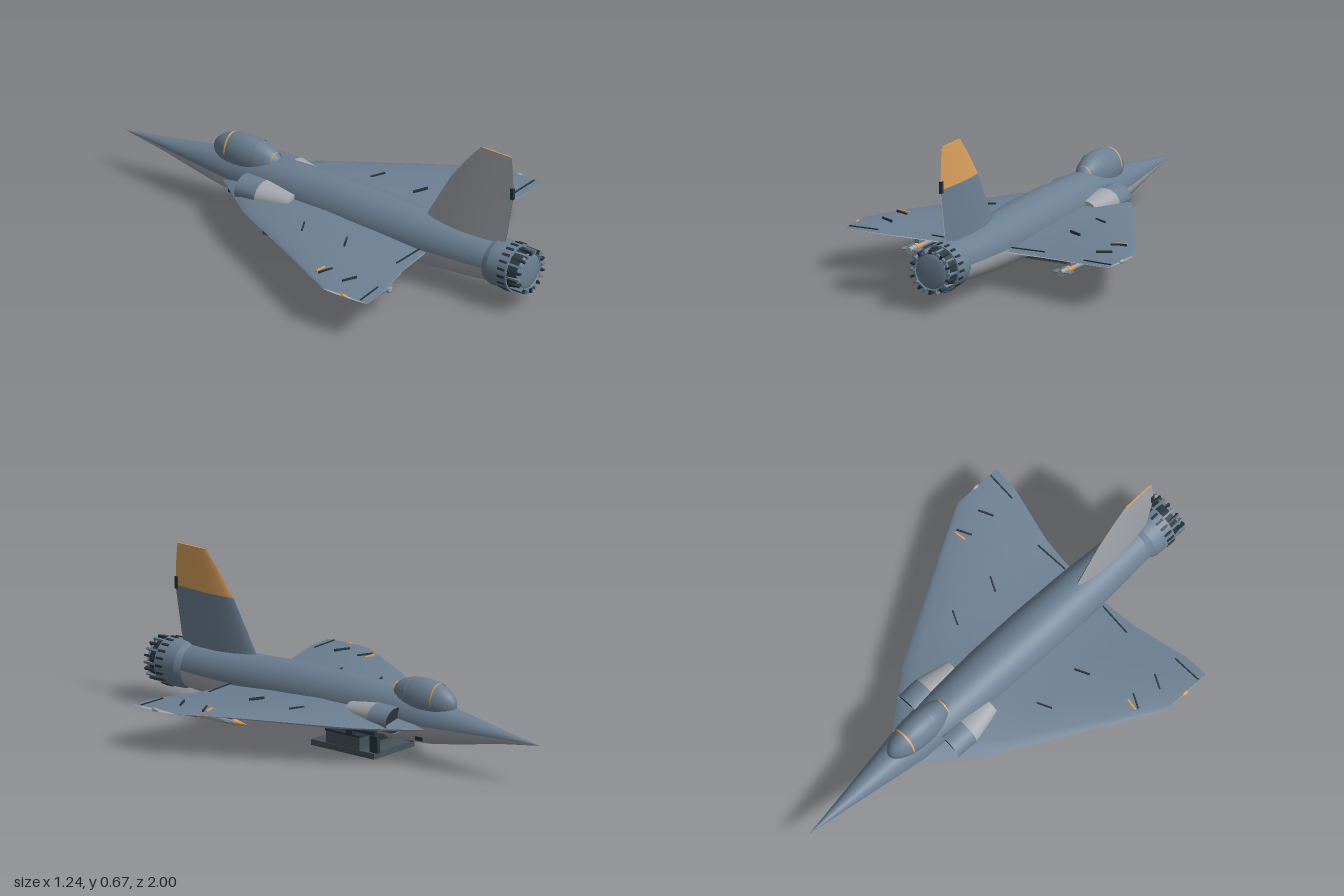
import * as THREE from 'three';

const mat = (name, color, side = THREE.FrontSide) => {
  const m = new THREE.MeshStandardMaterial({ color, side });
  m.name = name;
  return m;
};

// Skin a surface over rows of [x, y, z] points
function loft(rows, flip = false) {
  const n = rows[0].length, index = [];
  for (let i = 0; i < rows.length - 1; i++) {
    for (let j = 0; j < n - 1; j++) {
      const a = i * n + j, b = a + 1, c = a + n, d = c + 1;
      if (flip) index.push(a, c, b, b, c, d);
      else index.push(a, b, c, b, d, c);
    }
  }
  const g = new THREE.BufferGeometry();
  g.setAttribute('position', new THREE.Float32BufferAttribute(rows.flat(2), 3));
  g.setIndex(index);
  g.computeVertexNormals();
  return g;
}

// Elliptical arc in the xy plane
const arc = (cx, cy, rx, ry, z, from, to, n = 24) =>
  Array.from({ length: n + 1 }, (_, k) => {
    const a = from + (to - from) * k / n;
    return [cx + rx * Math.cos(a), cy + ry * Math.sin(a), z];
  });

// Chord position and relative thickness of the wing and fin section
const FOIL = [[0, 0], [0.04, 0.35], [0.12, 0.65], [0.3, 0.95], [0.5, 1], [0.75, 0.65], [1, 0.06]];

export function createModel() {
  const model = new THREE.Group();
  model.name = 'jetAircraft';
  const slate = mat('slateBlue', 0x6c7f92, THREE.DoubleSide);
  const grey = mat('lightGrey', 0xa3a7ad, THREE.DoubleSide);
  const orange = mat('orange', 0xd9a05c, THREE.DoubleSide);
  const dark = mat('darkSteel', 0x28343c);
  const box = mat('podGrey', 0x46535a);

  const add = (name, geo, material, x = 0, y = 0, z = 0, parent = model) => {
    const m = new THREE.Mesh(geo, material);
    m.name = name;
    m.position.set(x, y, z);
    parent.add(m);
    return m;
  };
  const block = (name, w, h, d, material, x, y, z, parent) =>
    add(name, new THREE.BoxGeometry(w, h, d), material, x, y, z, parent);
  // Cylinder along z: r0 at the forward (-z) end, r1 at the rear
  const tube = (name, r0, r1, len, material, x, y, z, parent, open = false) =>
    add(name, new THREE.CylinderGeometry(r1, r0, len, 32, 1, open).rotateX(Math.PI / 2), material, x, y, z, parent);

  // Fuselage stations: z, half width, top, bottom
  const body = [
    [-1, 0.001, 0.176, 0.174], [-0.8, 0.031, 0.204, 0.145], [-0.6, 0.062, 0.237, 0.105],
    [-0.45, 0.085, 0.26, 0.08], [-0.25, 0.1, 0.286, 0.066], [0, 0.11, 0.293, 0.06],
    [0.25, 0.112, 0.288, 0.056], [0.5, 0.105, 0.275, 0.058], [0.7, 0.093, 0.262, 0.068], [0.84, 0.085, 0.255, 0.08],
  ];
  const hull = (from, to) => loft(body.map(([z, rx, t, b]) => arc(0, (t + b) / 2, rx, (t - b) / 2, z, from, to)));
  add('upperFuselage', hull(0, Math.PI), slate);
  add('lowerFuselage', hull(Math.PI, Math.PI * 2), grey);

  // Engine nozzle with ribs and petals
  const ny = 0.168;
  tube('nozzleCollar', 0.086, 0.098, 0.03, slate, 0, ny, 0.825);
  tube('nozzleBand', 0.098, 0.1, 0.1, slate, 0, ny, 0.89);
  tube('nozzleCore', 0.092, 0.082, 0.045, dark, 0, ny, 0.9625);
  add('exhaustDome', new THREE.SphereGeometry(0.072, 32, 8, 0, Math.PI * 2, 0, Math.PI / 2)
    .rotateX(Math.PI / 2).scale(1, 1, 0.15), slate, 0, ny, 0.985);
  add('nozzleRim', new THREE.TorusGeometry(0.078, 0.007, 8, 32), slate, 0, ny, 0.984);
  for (let k = 0; k < 20; k++) {
    const petal = new THREE.Group();
    petal.name = 'nozzlePetal';
    petal.position.set(0, ny, 0);
    petal.rotation.z = k * Math.PI / 10;
    model.add(petal);
    block('petalBlade', 0.009, 0.018, 0.06, k % 2 ? slate : dark, 0, 0.085, 0.97, petal);
    block('petalHinge', 0.01, 0.008, 0.035, dark, 0, 0.099, 0.915, petal);
  }

  // Canopy with frame hoops
  const cz = -0.4, cy = 0.258, cr = [0.068, 0.087, 0.163];
  add('canopy', new THREE.SphereGeometry(1, 32, 20).scale(...cr), slate, 0, cy, cz);
  [[-0.478, orange], [-0.345, dark], [-0.265, orange]].forEach(([z, m]) => {
    const k = Math.sqrt(1 - ((z - cz) / cr[2]) ** 2) + 0.015;
    const rows = [-0.004, 0.004].map(d => arc(0, cy, cr[0] * k, cr[1] * k, z + d, 0, Math.PI));
    add('canopyFrame', loft(rows), m === dark ? slate : m);
  });

  // Tail fin stations: y, leading z, trailing z, half thickness
  const fin = [[0.23, 0.46, 0.86, 0.026], [0.3, 0.497, 0.877, 0.024], [0.49, 0.605, 0.91, 0.014],
    [0.6, 0.69, 0.906, 0.008], [0.667, 0.75, 0.9, 0.004]];
  const finSide = (st, s) => loft(st.map(([y, l, t, h]) => FOIL.map(([c, f]) => [s * h * f, y, l + (t - l) * c])), s > 0);
  add('finLowerLeft', finSide(fin.slice(0, 3), 1), slate);
  add('finTipLeft', finSide(fin.slice(2), 1), orange);
  add('finRight', finSide(fin, -1), grey);
  block('finTopCap', 0.006, 0.003, 0.14, orange, 0, 0.6665, 0.828);
  block('finTailLight', 0.012, 0.05, 0.016, dark, 0, 0.5, 0.904);

  // Wing stations: x, leading z, trailing z, mid height, half thickness
  const wing = [[0.07, -0.485, 0.545, 0.158, 0.042], [0.165, -0.36, 0.55, 0.158, 0.037], [0.26, -0.24, 0.56, 0.162, 0.029],
    [0.5, 0.198, 0.615, 0.177, 0.012], [0.61, 0.4, 0.62, 0.178, 0.005]];
  const wingSkin = (s, v) => loft(wing.map(([x, l, t, y, h]) =>
    FOIL.map(([c, f]) => [s * x, y + v * h * f, l + (t - l) * c])), s * v < 0);

  for (const s of [1, -1]) {
    const side = new THREE.Group();
    side.name = s > 0 ? 'leftSide' : 'rightSide';
    model.add(side);
    add('wingTop', wingSkin(s, 1), slate, 0, 0, 0, side);
    add('wingUnderside', wingSkin(s, -1), grey, 0, 0, 0, side);
    add('wingtipLight', new THREE.SphereGeometry(0.008, 12, 8).scale(1, 1, 2.2),
      s > 0 ? grey : orange, s * 0.61, 0.178, 0.505, side);

    // Small fences and markers on the wing
    [[0.26, 0.055, 0.19], [0.26, 0.265, 0.19], [0.5, 0.335, 0.189], [0.5, 0.455, 0.189]].forEach(([x, z, y], k) => {
      block('wingFence', 0.066, 0.012, 0.006, dark, s * x, y, z, side).rotation.y = s * (k < 2 ? -0.45 : 0.45);
    });
    block('wingMarker', 0.05, 0.01, 0.008, orange, s * 0.5, 0.188, 0.312, side).rotation.y = s * 0.15;
    block('flapGap', 0.15, 0.004, 0.006, dark, s * 0.185, 0.173, 0.52, side).rotation.y = s * 0.06;
    block('flapGap', 0.13, 0.004, 0.006, dark, s * 0.54, 0.182, 0.58, side).rotation.y = s * -0.04;

    // Air intake: slate lip, pale tapering fairing, dark mouth
    const ring = (cx, rx, ry, z) => arc(s * cx, 0.18, rx, ry, z, 0, Math.PI * 2);
    add('intakeLip', loft([ring(0.11, 0.067, 0.054, -0.345), ring(0.112, 0.068, 0.055, -0.245)]), slate, 0, 0, 0, side);
    add('intakeFairing', loft([ring(0.112, 0.068, 0.055, -0.245), ring(0.1, 0.05, 0.034, -0.1)]), grey, 0, 0, 0, side);
    add('intakeEnd', new THREE.CircleGeometry(1, 24).scale(0.05, 0.034, 1), grey, s * 0.1, 0.18, -0.1, side);
    add('intakeMouth', new THREE.CircleGeometry(1, 24).rotateY(Math.PI).scale(0.067, 0.054, 1), dark, s * 0.11, 0.18, -0.335, side);

    // Wing missile on its pylon
    const missile = new THREE.Group();
    missile.name = 'missile';
    missile.position.set(s * 0.35, 0.105, 0);
    side.add(missile);
    block('pylon', 0.02, 0.045, 0.17, slate, 0, 0.034, 0.395, missile);
    tube('missileBody', 0.013, 0.013, 0.25, grey, 0, 0, 0.425, missile);
    tube('missileNose', 0.001, 0.013, 0.06, orange, 0, 0, 0.27, missile);
    tube('missileBand', 0.0145, 0.0145, 0.05, orange, 0, 0, 0.475, missile);
    block('missileFinsFlat', 0.08, 0.004, 0.045, slate, 0, 0, 0.525, missile);
    block('missileFinsUpright', 0.004, 0.036, 0.045, slate, 0, 0, 0.525, missile);
    block('missileForeFins', 0.05, 0.004, 0.03, slate, 0, 0, 0.33, missile);

    // Pod hangers and belly fittings
    block('podHanger', 0.016, 0.07, 0.04, dark, s * 0.11, 0.06, -0.23, side);
    tube('podRail', 0.011, 0.011, 0.15, dark, s * 0.12, 0.11, -0.17, side);
    block('railClamp', 0.026, 0.035, 0.03, dark, s * 0.115, 0.1, -0.11, side);
    block('bellyVent', 0.008, 0.016, 0.035, dark, s * 0.07, 0.112, -0.43, side);
  }

  // Belly pod: box over a wide bottom tray
  block('podTray', 0.254, 0.024, 0.33, box, 0, 0.012, -0.075);
  block('podBox', 0.25, 0.065, 0.175, box, 0, 0.05, -0.075);
  block('podLid', 0.256, 0.008, 0.181, dark, 0, 0.08, -0.075);
  block('podMount', 0.1, 0.03, 0.14, dark, 0, 0.078, -0.075);
  block('podCrossBar', 0.23, 0.02, 0.03, dark, 0, 0.085, -0.23);
  return model;
}
